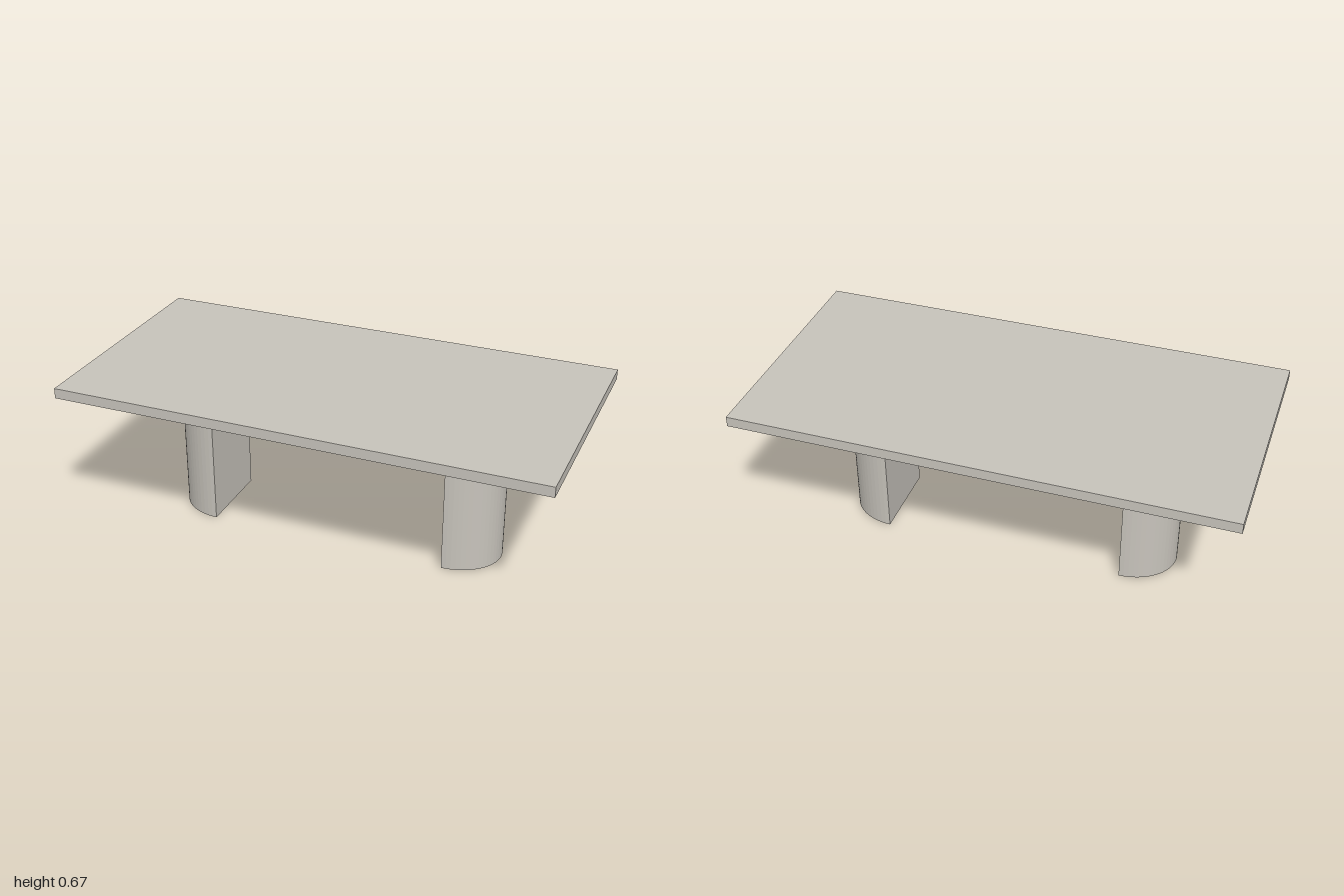
import * as THREE from 'three';

const TOP_Y = 0.669, TOP_THICK = 0.042, TOP_DEPTH = 1.01;
const LEG_HEIGHT = TOP_Y - TOP_THICK;
const LEG_REACH = 0.2, LEG_HALF_WIDTH = 0.169, LEG_X = 0.5, LEG_Z = -0.007;
const LEG_SEGMENTS = 32;

// Half-ellipse column: flat side on x = 0, curved side towards +x, base on y = 0
function halfColumn() {
  const points = [];
  for (let i = 0; i <= LEG_SEGMENTS; i++) {
    const a = -Math.PI / 2 + (Math.PI * i) / LEG_SEGMENTS;
    points.push(new THREE.Vector2(LEG_REACH * Math.cos(a), LEG_HALF_WIDTH * Math.sin(a)));
  }
  const geometry = new THREE.ExtrudeGeometry(new THREE.Shape(points), {
    depth: LEG_HEIGHT, bevelEnabled: false,
  });
  return geometry.rotateX(-Math.PI / 2);
}

export function createModel() {
  const group = new THREE.Group();
  group.name = 'table';

  const stone = new THREE.MeshStandardMaterial({ color: 0xc8c4bc });
  stone.name = 'warm grey stone';

  // Table top slab
  const top = new THREE.Mesh(new THREE.BoxGeometry(2, TOP_THICK, TOP_DEPTH), stone);
  top.name = 'tableTop';
  top.position.y = TOP_Y - TOP_THICK / 2;
  group.add(top);

  // Two pedestal legs, flat sides facing each other
  const legGeometry = halfColumn();
  for (const side of [1, -1]) {
    const leg = new THREE.Mesh(legGeometry, stone);
    leg.name = side > 0 ? 'leftLeg' : 'rightLeg';
    leg.position.set(side * LEG_X, 0, LEG_Z);
    if (side < 0) leg.rotation.y = Math.PI;
    group.add(leg);
  }
  return group;
}
